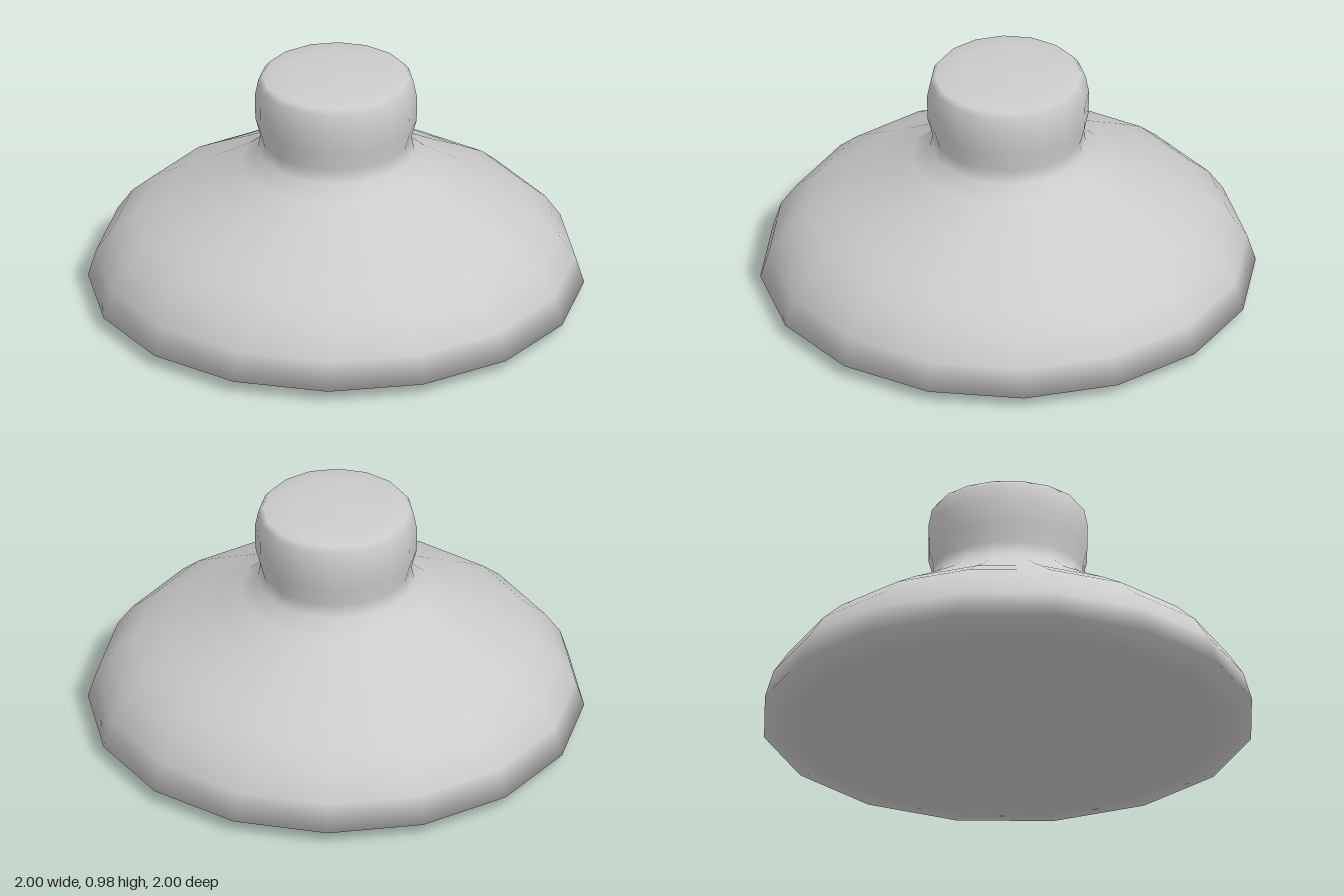
import * as THREE from 'three';

// Outline from the underside centre, up the bell and neck, to the knob's top centre: [radius, height]
const PROFILE = [
  [0, 0.003], [0.45, 0.006], [0.85, 0.022], [1, 0.055],
  [0.965, 0.17], [0.9, 0.265], [0.81, 0.345], [0.68, 0.42], [0.53, 0.5],
  [0.385, 0.585], [0.315, 0.645], [0.305, 0.7],
  [0.325, 0.775], [0.327, 0.88], [0.313, 0.95], [0.295, 0.972],
  [0.2, 0.982], [0, 0.986],
];
const SIDES = 16;

export function createModel() {
  const group = new THREE.Group();
  group.name = 'bellWithKnob';

  // Bell-shaped base, neck and knob as one smooth turned body
  const body = new THREE.Mesh(
    new THREE.LatheGeometry(PROFILE.map(([r, y]) => new THREE.Vector2(r, y)), SIDES),
    new THREE.MeshStandardMaterial({ color: 0xcccccc }),
  );
  body.name = 'turnedBody';
  group.add(body);
  return group;
}
